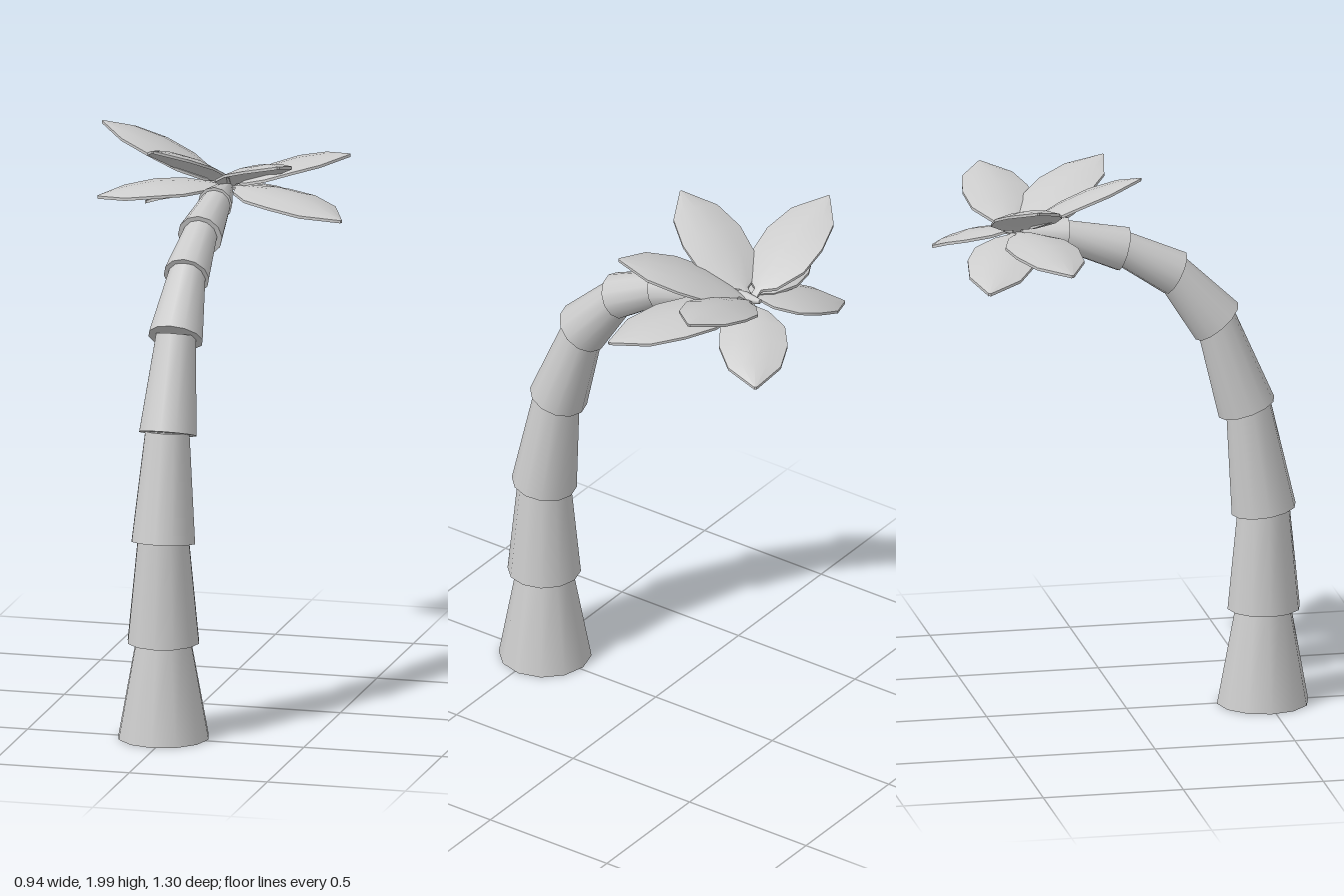
import * as THREE from 'three';

const material = new THREE.MeshStandardMaterial({ color: 0xcccccc });
const X = -0.012; // the trunk bends in the plane x = X
const CROWN = new THREE.Vector3(X, 1.765, -0.4);

// Tapered trunk ring from [y, z, radius] to [y, z, radius]
function trunkSegment(bottom, top) {
  const a = new THREE.Vector3(X, bottom[0], bottom[1]);
  const b = new THREE.Vector3(X, top[0], top[1]);
  const axis = b.clone().sub(a);
  const geometry = new THREE.CylinderGeometry(top[2], bottom[2], axis.length(), 12);
  const mesh = new THREE.Mesh(geometry, material);
  mesh.position.copy(a).add(b).multiplyScalar(0.5);
  mesh.quaternion.setFromUnitVectors(new THREE.Vector3(0, 1, 0), axis.normalize());
  return mesh;
}

// Leaf outline: [position along the leaf, half width]
const OUTLINE = [
  [0, 0.012], [0.09, 0.014], [0.15, 0.06], [0.34, 0.114],
  [0.56, 0.12], [0.79, 0.092], [1, 0.004],
];

// Thin arched leaf from the crown to its tip: a box whose vertices follow the outline
function leaf(tipX, tipY, tipZ) {
  const tip = new THREE.Vector3(tipX, tipY, tipZ);
  const run = tip.clone().sub(CROWN);
  const side = new THREE.Vector3(run.z, 0, -run.x).normalize();
  const rows = OUTLINE.length - 1;
  const geometry = new THREE.BoxGeometry(2, 1, rows, 4, 1, rows);
  const pos = geometry.attributes.position;
  const p = new THREE.Vector3();
  for (let i = 0; i < pos.count; i++) {
    const across = pos.getX(i);
    const [t, halfWidth] = OUTLINE[Math.round(pos.getZ(i) + rows / 2)];
    p.copy(CROWN).addScaledVector(run, t).addScaledVector(side, across * halfWidth);
    p.y += 0.15 * t * (1 - t);                  // arch along the midrib
    p.y -= 0.2 * halfWidth * across * across;   // edges droop
    p.y += pos.getY(i) * 0.01;                  // thickness
    pos.setXYZ(i, p.x, p.y, p.z);
  }
  geometry.computeVertexNormals();
  return new THREE.Mesh(geometry, material);
}

export function createModel() {
  const model = new THREE.Group();
  model.name = 'palmTree';

  // Trunk: stacked flared rings along a bending path
  const trunk = new THREE.Group();
  trunk.name = 'trunk';
  const segments = [
    [[0, 0.483, 0.163], [0.37, 0.485, 0.095]],
    [[0.345, 0.487, 0.129], [0.72, 0.487, 0.092]],
    [[0.704, 0.487, 0.115], [1.09, 0.432, 0.08]],
    [[1.08, 0.426, 0.104], [1.41, 0.315, 0.072]],
    [[1.4, 0.32, 0.098], [1.6, 0.155, 0.065]],
    [[1.585, 0.172, 0.082], [1.695, -0.03, 0.06]],
    [[1.685, -0.015, 0.08], [1.755, -0.25, 0.052]],
    [[1.75, -0.22, 0.062], [1.78, -0.44, 0.008]],
  ];
  segments.forEach(([bottom, top], i) => {
    const mesh = trunkSegment(bottom, top);
    mesh.name = `trunkSegment${i + 1}`;
    trunk.add(mesh);
  });
  model.add(trunk);

  // Crown: eight leaves, given by their tips
  const crown = new THREE.Group();
  crown.name = 'crown';
  const tips = [
    [-0.47, 1.97, -0.41], [-0.455, 1.73, -0.284],
    [-0.353, 1.65, -0.56], [0.29, 1.645, -0.634],
    [0.42, 1.9, -0.44], [0.468, 1.74, -0.13],
    [0.267, 1.945, -0.03], [-0.175, 1.985, 0.017],
  ];
  tips.forEach((tip, i) => {
    const mesh = leaf(...tip);
    mesh.name = `leaf${i + 1}`;
    crown.add(mesh);
  });
  model.add(crown);

  return model;
}
